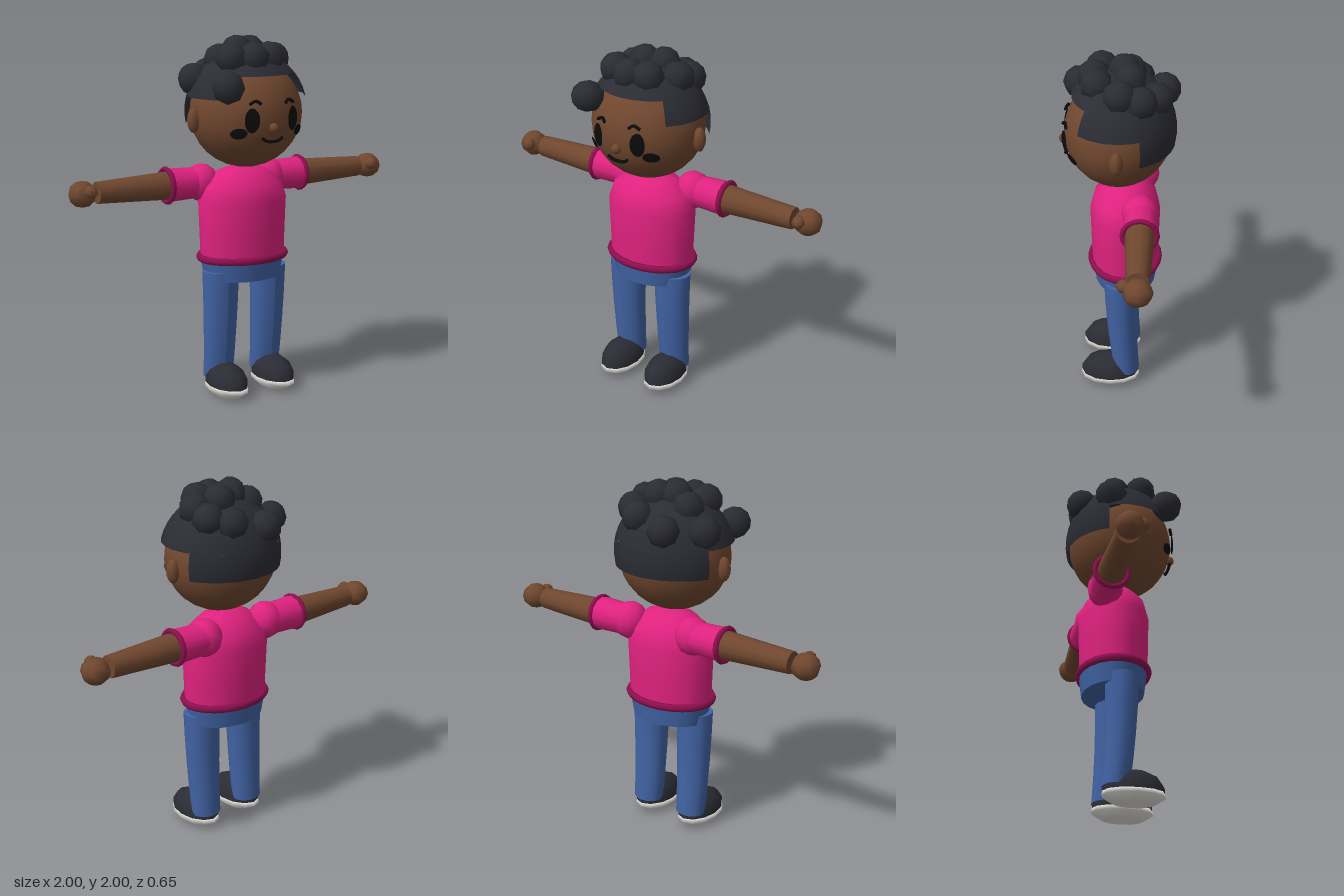
import * as THREE from 'three';

const mat = (name, color, side = THREE.FrontSide) => {
  const m = new THREE.MeshStandardMaterial({ color, side });
  m.name = name;
  return m;
};

// Head ellipsoid: centre height and radii
const HEAD = { y: 1.585, rx: 0.315, ry: 0.3, rz: 0.29 };
const faceZ = (x, y) => HEAD.rz * Math.sqrt(
  Math.max(0, 1 - (x / HEAD.rx) ** 2 - ((y - HEAD.y) / HEAD.ry) ** 2));

export function createModel() {
  const skin = mat('brown skin', 0x70472f);
  const hair = mat('black hair', 0x2b2c34, THREE.DoubleSide);
  const ink = mat('face black', 0x0b0b0b, THREE.DoubleSide);
  const shirt = mat('pink shirt', 0xdf227f);
  const trim = mat('dark pink trim', 0x8f0f4f);
  const denim = mat('blue denim', 0x4163a4);
  const shoe = mat('black shoe', 0x2b2c34);
  const rubber = mat('white sole', 0xe6e4de);

  const model = new THREE.Group();
  model.name = 'child';
  const add = (name, geo, material, x = 0, y = 0, z = 0, s = [1, 1, 1]) => {
    const m = new THREE.Mesh(geo, material);
    m.name = name;
    m.position.set(x, y, z);
    m.scale.set(...s);
    model.add(m);
    return m;
  };
  const ball = (name, material, x, y, z, s, w = 12, h = 8) =>
    add(name, new THREE.SphereGeometry(1, w, h), material, x, y, z, s);
  const lathe = (pts, seg) => new THREE.LatheGeometry(pts.map(p => new THREE.Vector2(...p)), seg);

  // Head, nose and ears
  ball('head', skin, 0, HEAD.y, 0, [HEAD.rx, HEAD.ry, HEAD.rz], 24, 16);
  ball('nose', skin, 0, 1.53, 0.293, [0.027, 0.027, 0.027], 8, 6);
  for (const s of [-1, 1]) ball('ear', skin, s * 0.325, 1.56, 0, [0.036, 0.068, 0.036], 8, 8);

  // Thin ovals that follow the curve of the face
  const facePatch = (name, cx, cy, rx, ry, lift) => {
    const geo = new THREE.RingGeometry(0.001, 1, 16, 4);
    const p = geo.attributes.position;
    for (let i = 0; i < p.count; i++) {
      const x = cx + p.getX(i) * rx, y = cy + p.getY(i) * ry;
      p.setXYZ(i, x, y, faceZ(x, y) + lift);
    }
    geo.computeVertexNormals();
    add(name, geo, ink);
  };
  // Fine lines drawn across the face
  const faceLine = (name, pts, r) => {
    const curve = new THREE.CatmullRomCurve3(
      pts.map(([x, y]) => new THREE.Vector3(x, y, faceZ(x, y) + 0.016)));
    add(name, new THREE.TubeGeometry(curve, 12, r, 6), ink);
  };
  for (const s of [-1, 1]) {
    facePatch('eye', s * 0.125, 1.575, 0.038, 0.066, 0.018);
    facePatch('cheek', s * 0.183, 1.505, 0.038, 0.03, 0.018);
    faceLine('eyebrow', [[s * 0.075, 1.66], [s * 0.1, 1.677], [s * 0.135, 1.66]], 0.009);
  }
  faceLine('mouth', [[-0.062, 1.477], [-0.035, 1.46], [0, 1.457], [0.035, 1.46], [0.062, 1.477]], 0.009);

  // Hair shell: crown, side band and nape, stacked downwards
  const hairBand = (name, phi, len, t0, t1, w, h) =>
    add(name, new THREE.SphereGeometry(1, w, h, phi, len, t0, t1 - t0), hair,
      0, 1.6, 0, [0.343, 0.33, 0.312]);
  const T = [0, 0.92, 1.325, 1.785];
  hairBand('hairCrown', 0, Math.PI * 2, T[0], T[1], 24, 6);
  hairBand('hairSides', Math.PI - 0.73, Math.PI + 1.46, T[1], T[2], 18, 3);
  hairBand('hairNape', Math.PI + 0.4, Math.PI - 0.8, T[2], T[3], 12, 3);

  // Curls
  const curls = [
    [-0.235, 1.75, 0.22], [-0.265, 1.77, -0.1], [-0.105, 1.78, -0.24], [0.09, 1.82, -0.2],
    [-0.14, 1.885, 0.09], [0.075, 1.885, 0.11], [-0.03, 1.885, 0.13], [0.18, 1.87, -0.01],
    [-0.04, 1.915, -0.03], [0.06, 1.91, -0.06], [-0.13, 1.87, -0.06], [0.18, 1.84, -0.12],
  ];
  for (const [x, y, z] of curls) {
    const c = ball('curl', hair, x, y, z, [0.09, 0.09, 0.09], 8, 6);
    c.rotation.set(z * 4, 0.4, -x * 4);
  }

  // Shirt body and hem
  const body = [[0.25, 0.77], [0.255, 0.92], [0.262, 1.1], [0.232, 1.19], [0.15, 1.26], [0.06, 1.29], [0, 1.29]];
  add('shirtBody', lathe(body, 20), shirt, 0, 0, -0.037, [1, 1, 0.74]);
  const hem = add('shirtHem', new THREE.TorusGeometry(0.253, 0.022, 6, 24), trim, 0, 0.78, -0.037, [1, 0.76, 1]);
  hem.rotation.x = Math.PI / 2;

  // Hips
  add('hips', new THREE.CylinderGeometry(0.25, 0.228, 0.13, 20), denim, 0, 0.722, -0.04, [1, 1, 0.745]);

  for (const s of [-1, 1]) {
    // Arm pieces lie along x; the narrow end points outwards
    const limb = (name, rIn, rOut, x0, x1, material) => {
      const geo = new THREE.CylinderGeometry(rOut, rIn, x1 - x0, 12);
      add(name, geo, material, s * (x0 + x1) / 2, 1.195, -0.127).rotation.z = -s * Math.PI / 2;
    };
    ball('shoulder', shirt, s * 0.215, 1.195, -0.122, [0.1, 0.105, 0.1]);
    limb('sleeve', 0.085, 0.094, 0.18, 0.425, shirt);
    const cuff = add('sleeveCuff', new THREE.TorusGeometry(0.091, 0.015, 6, 16), trim, s * 0.428, 1.195, -0.127);
    cuff.rotation.y = Math.PI / 2;
    limb('arm', 0.08, 0.06, 0.4, 0.842, skin);
    ball('hand', skin, s * 0.922, 1.195, -0.13, [0.078, 0.072, 0.078], 8, 6);
    ball('thumb', skin, s * 0.9, 1.215, -0.062, [0.036, 0.036, 0.04], 8, 6);

    // Leg: tapers and leans back towards the ankle
    const leg = new THREE.CylinderGeometry(1, 1, 0.62, 14, 4);
    const p = leg.attributes.position;
    for (let i = 0; i < p.count; i++) {
      const t = 0.5 - p.getY(i) / 0.62;
      p.setX(i, p.getX(i) * (0.108 - 0.02 * t));
      p.setZ(i, p.getZ(i) * (0.094 - 0.02 * t) - 0.018 - 0.034 * t * t);
    }
    leg.computeVertexNormals();
    add('leg', leg, denim, s * 0.152, 0.4, 0);

    // Shoe upper and sole
    const upper = [[1, 0.055], [1, 0.095], [0.8, 0.145], [0.4, 0.178], [0, 0.18]];
    add('shoeUpper', lathe(upper, 12), shoe, s * 0.153, 0, 0.043, [0.104, 1, 0.165]);
    const sole = [[0, 0], [0.65, 0.004], [1, 0.04], [0.96, 0.066], [0, 0.066]];
    add('shoeSole', lathe(sole, 12), rubber, s * 0.153, 0, 0.043, [0.108, 1, 0.172]);
  }
  return model;
}
